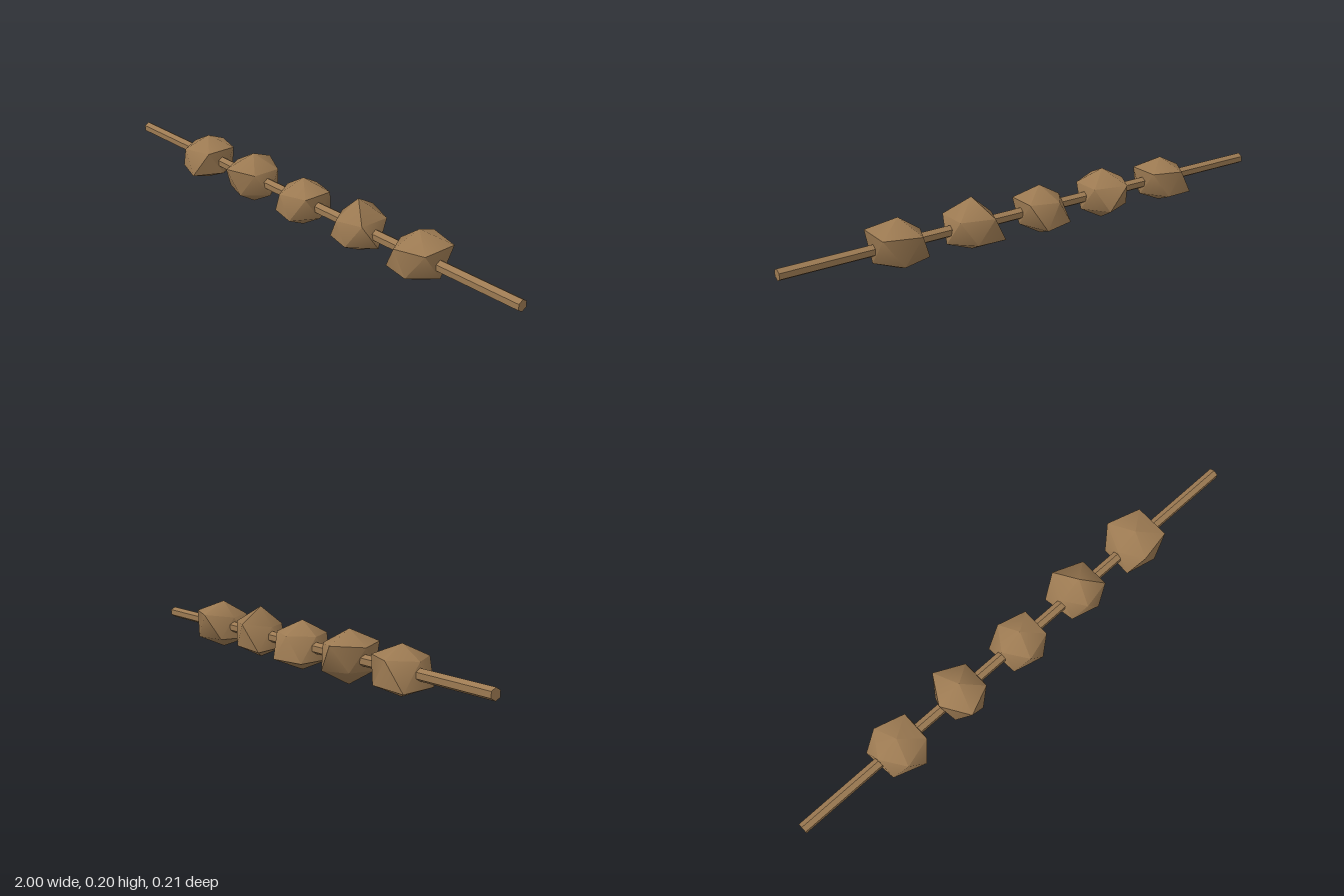
import * as THREE from 'three';
import { toCreasedNormals } from 'three/addons/utils/BufferGeometryUtils.js';

const AXIS_Y = 0.103;
const RING_SLOPE = 0.45; // height of a ring corner relative to its radius

// Each chunk: x, pole heights, and radii of the five upper and five lower corners
const CHUNKS = [
  { x: -0.571, top: 0.19, bottom: 0.017, upper: [0.101, 0.095, 0.09, 0.098, 0.102], lower: [0.096, 0.108, 0.106, 0.121, 0.098] },
  { x: -0.286, top: 0.2, bottom: 0.007, upper: [0.094, 0.109, 0.097, 0.112, 0.094], lower: [0.097, 0.092, 0.092, 0.092, 0.098] },
  { x: 0, top: 0.194, bottom: 0.012, upper: [0.096, 0.092, 0.088, 0.092, 0.098], lower: [0.088, 0.096, 0.104, 0.114, 0.108] },
  { x: 0.286, top: 0.21, bottom: 0.017, upper: [0.1, 0.083, 0.08, 0.107, 0.099], lower: [0.102, 0.09, 0.096, 0.118, 0.092] },
  { x: 0.571, top: 0.199, bottom: 0.016, upper: [0.114, 0.092, 0.082, 0.112, 0.115], lower: [0.1, 0.094, 0.105, 0.102, 0.1] },
];

// Irregular twenty-sided lump: two staggered rings of five between two poles
function chunkGeometry({ top, bottom, upper, lower }) {
  const corner = (r, degrees, sign) => {
    const a = THREE.MathUtils.degToRad(degrees);
    return [r * Math.cos(a), sign * r * RING_SLOPE, r * Math.sin(a)];
  };
  const points = [
    [0, top - AXIS_Y, 0],
    ...upper.map((r, k) => corner(r, 36 + 72 * k, 1)),
    ...lower.map((r, k) => corner(r, 72 * k, -1)),
    [0, bottom - AXIS_Y, 0],
  ];
  const index = [];
  for (let k = 0; k < 5; k++) {
    const n = (k + 1) % 5;
    const u0 = 1 + k, u1 = 1 + n, l0 = 6 + k, l1 = 6 + n;
    index.push(0, u1, u0, u0, u1, l1, l1, l0, u0, 11, l0, l1);
  }
  const geometry = new THREE.BufferGeometry();
  geometry.setAttribute('position', new THREE.Float32BufferAttribute(points.flat(), 3));
  geometry.setIndex(index);
  return toCreasedNormals(geometry, THREE.MathUtils.degToRad(50));
}

export function createModel() {
  const model = new THREE.Group();
  model.name = 'skewer';
  const brown = new THREE.MeshStandardMaterial({ color: 0x9c7a52 });
  brown.name = 'brown';

  // Six-sided stick along x, with an edge on top
  const stickGeometry = new THREE.CylinderGeometry(0.021, 0.021, 2, 6);
  stickGeometry.rotateY(Math.PI / 6).rotateZ(Math.PI / 2);
  const stick = new THREE.Mesh(toCreasedNormals(stickGeometry, 0.5), brown);
  stick.name = 'stick';
  stick.position.y = AXIS_Y;
  model.add(stick);

  // Chunks threaded on the stick
  CHUNKS.forEach((data, i) => {
    const chunk = new THREE.Mesh(chunkGeometry(data), brown);
    chunk.name = `chunk${i + 1}`;
    chunk.position.set(data.x, AXIS_Y, 0);
    model.add(chunk);
  });

  // Rest the lowest chunk on the ground
  model.position.y = -Math.min(...CHUNKS.map((c) => c.bottom));
  return model;
}
